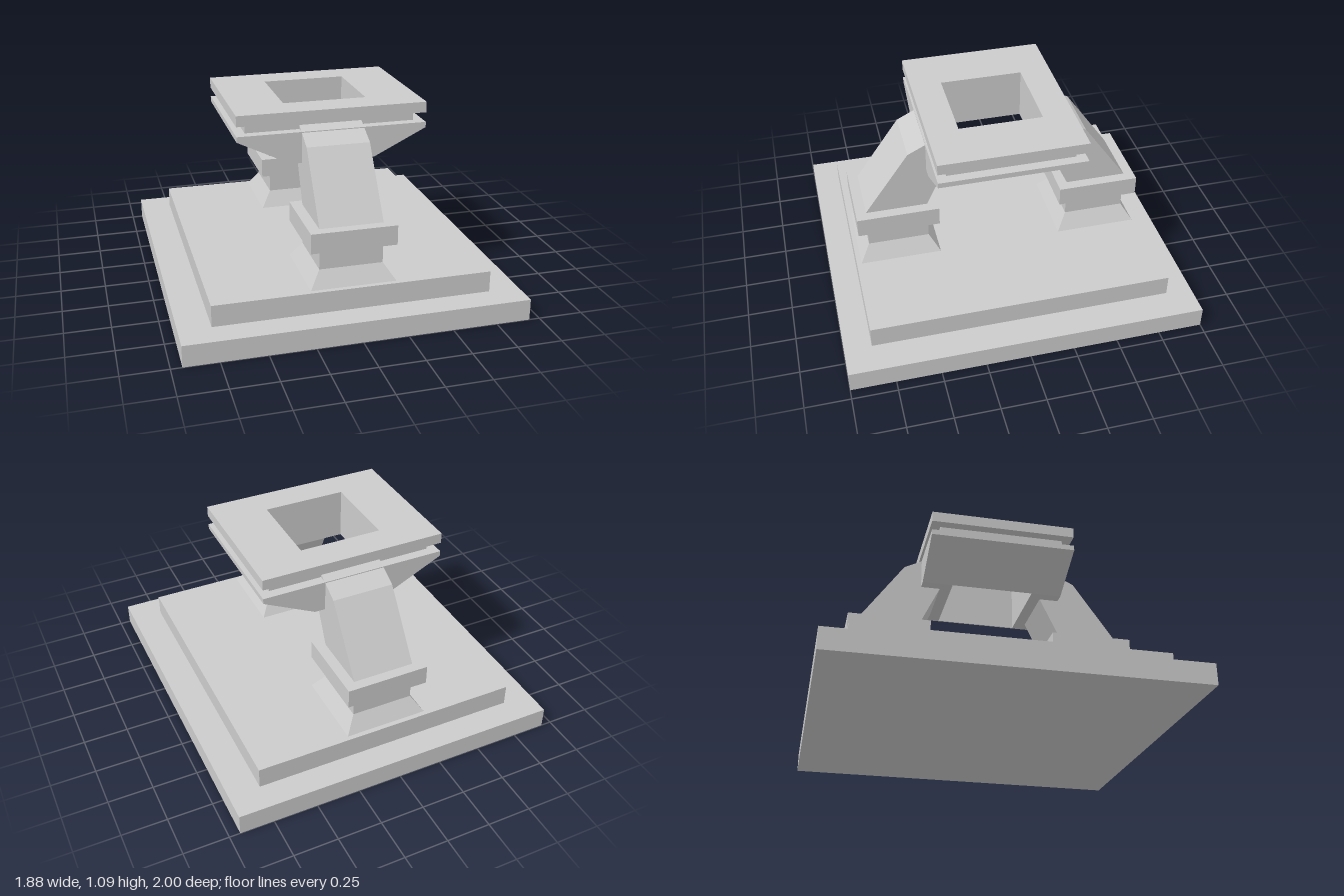
import * as THREE from 'three';

const material = new THREE.MeshStandardMaterial({ color: 0xcccccc, flatShading: true });

function add(parent, name, geometry) {
  const mesh = new THREE.Mesh(geometry, material);
  mesh.name = name;
  parent.add(mesh);
  return mesh;
}

// box from half sizes in x and z, and a bottom and top height
function slab(hx, hz, y0, y1, z = 0) {
  return new THREE.BoxGeometry(hx * 2, y1 - y0, hz * 2).translate(0, (y0 + y1) / 2, z);
}

function polygon(points) {
  return new THREE.Shape(points.map(([a, b]) => new THREE.Vector2(a, b)));
}

function extrude(shape, depth) {
  return new THREE.ExtrudeGeometry(shape, { depth, bevelEnabled: false });
}

const HOLE = 0.235;

// flat rectangular ring around the central square shaft
function frame(hx, hz, y0, y1) {
  const shape = polygon([[-hx, -hz], [hx, -hz], [hx, hz], [-hx, hz]]);
  shape.holes.push(polygon([[-HOLE, -HOLE], [-HOLE, HOLE], [HOLE, HOLE], [HOLE, -HOLE]]));
  return extrude(shape, y1 - y0).rotateX(-Math.PI / 2).translate(0, y0, 0);
}

// four-sided tapered block
function taperedFoot(bottom, top, y0, y1, z) {
  const geometry = new THREE.BoxGeometry(2, y1 - y0, 2);
  const p = geometry.attributes.position;
  for (let i = 0; i < p.count; i++) {
    const [hx, hz] = p.getY(i) > 0 ? top : bottom;
    p.setX(i, p.getX(i) * hx);
    p.setZ(i, p.getZ(i) * hz);
  }
  geometry.translate(0, (y0 + y1) / 2, z);
  geometry.computeVertexNormals();
  return geometry;
}

function createLeg(name) {
  const leg = new THREE.Group();
  leg.name = name;
  const z = 0.59;
  add(leg, 'foot', taperedFoot([0.235, 0.233], [0.175, 0.175], 0.24, 0.33, z));
  add(leg, 'post', slab(0.175, 0.175, 0.33, 0.45, z));
  add(leg, 'collar', slab(0.235, 0.233, 0.45, 0.56, z));
  // bent arm leaning inward, profile given as (z, y)
  const profile = polygon([[0.415, 0.56], [0.765, 0.56], [0.51, 0.92], [0.35, 1.0], [0.3, 1.0], [0.3, 0.8]]);
  add(leg, 'arm', extrude(profile, 0.35).rotateY(-Math.PI / 2).translate(0.175, 0, 0));
  return leg;
}

export function createModel() {
  const model = new THREE.Group();
  model.name = 'pedestal';

  // stepped base
  add(model, 'lowerBase', slab(0.94, 1, 0, 0.12));
  add(model, 'upperBase', slab(0.765, 0.85, 0.12, 0.24));

  // two facing legs
  model.add(createLeg('frontLeg'));
  const backLeg = createLeg('backLeg');
  backLeg.rotation.y = Math.PI;
  model.add(backLeg);

  // flared tray around the open shaft
  const tray = new THREE.Group();
  tray.name = 'tray';
  model.add(tray);
  const full = polygon([[-0.235, 0.8], [0.235, 0.8], [0.53, 0.945], [0.53, 0.975], [-0.53, 0.975], [-0.53, 0.945]]);
  const side = polygon([[HOLE, 0.8], [0.53, 0.945], [0.53, 0.975], [HOLE, 0.975]]);
  add(tray, 'trayFront', extrude(full, 0.41 - HOLE).translate(0, 0, HOLE));
  add(tray, 'trayBack', extrude(full, 0.41 - HOLE).translate(0, 0, -0.41));
  add(tray, 'trayLeft', extrude(side, HOLE * 2).translate(0, 0, -HOLE));
  add(tray, 'trayRight', extrude(side, HOLE * 2).translate(0, 0, -HOLE)).rotation.y = Math.PI;

  // recessed neck and top plate
  add(model, 'neck', frame(0.475, 0.355, 0.975, 1.03));
  add(model, 'topPlate', frame(0.53, 0.41, 1.03, 1.09));

  return model;
}
